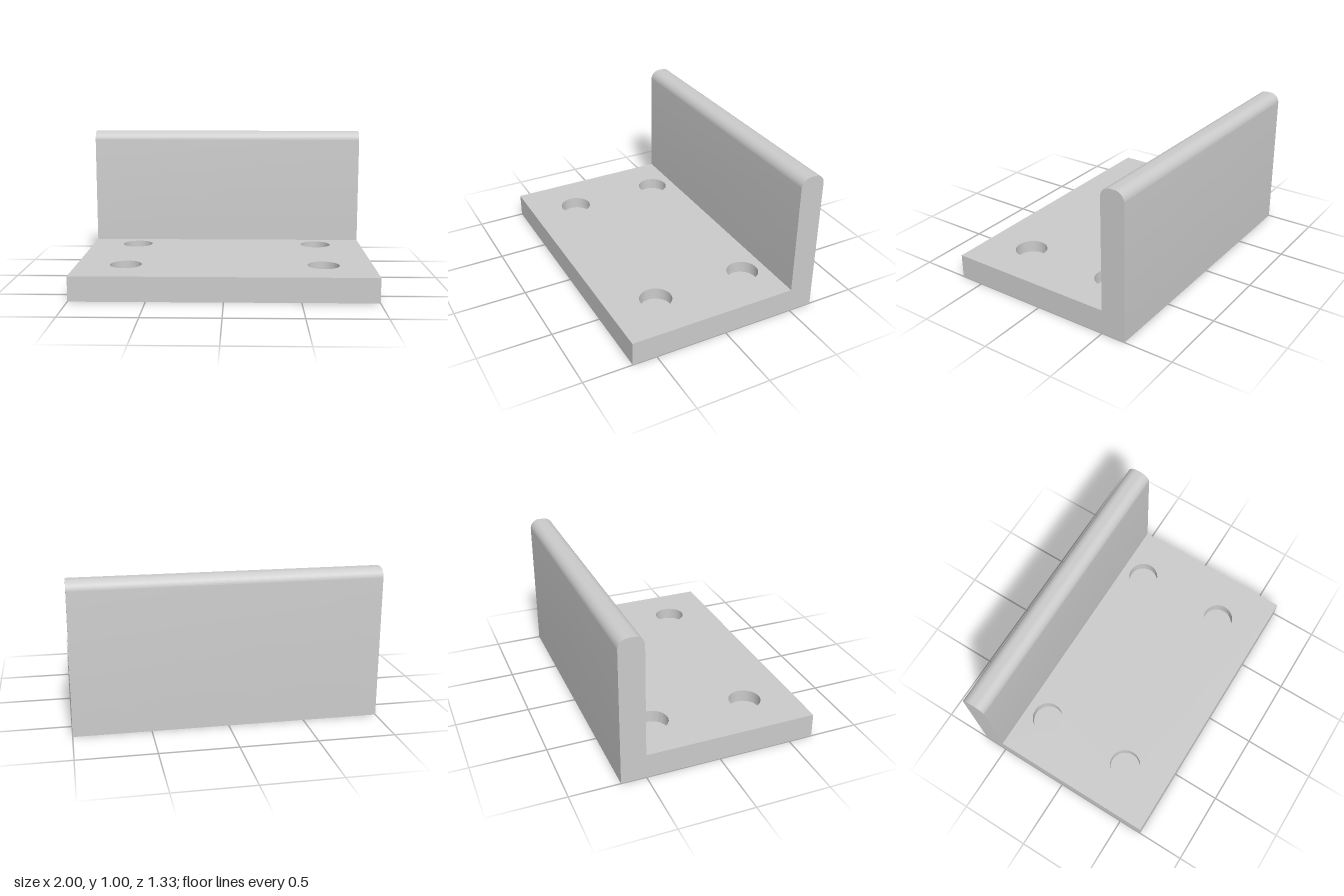
import * as THREE from 'three';
import { toCreasedNormals } from 'three/addons/utils/BufferGeometryUtils.js';

const W = 2, D = 4 / 3, T = 1 / 6, H = 1; // width, depth, plate thickness, height
const ROUND = 0.067, HOLE_R = 0.108, HOLE_DEPTH = T / 2;
const HOLES = [[-2 / 3, -1 / 3], [2 / 3, -1 / 3], [-2 / 3, 1 / 3], [2 / 3, 1 / 3]];

// L-shaped body, extruded along x, left open on top of the base plate
function bodyGeometry() {
  const back = D / 2, face = D / 2 - T;
  const s = new THREE.Shape();
  s.moveTo(-back, 0);
  s.lineTo(back, 0);
  s.lineTo(back, H - ROUND);
  s.absarc(back - ROUND, H - ROUND, ROUND, 0, Math.PI / 2, false);
  s.absarc(face + ROUND, H - ROUND, ROUND, Math.PI / 2, Math.PI, false);
  s.lineTo(face, T);
  s.lineTo(-back, T);
  s.closePath();
  const solid = new THREE.ExtrudeGeometry(s, { depth: W, bevelEnabled: false, curveSegments: 16 });
  solid.translate(0, 0, -W / 2).rotateY(Math.PI / 2);

  // drop the plate's top face, which is replaced by the drilled one
  const p = solid.toNonIndexed().attributes.position;
  const kept = [];
  for (let i = 0; i < p.count; i += 3) {
    if ([0, 1, 2].every((k) => Math.abs(p.getY(i + k) - T) < 1e-5)) continue;
    for (let k = 0; k < 3; k++) kept.push(p.getX(i + k), p.getY(i + k), p.getZ(i + k));
  }
  const g = new THREE.BufferGeometry();
  g.setAttribute('position', new THREE.Float32BufferAttribute(kept, 3));
  return toCreasedNormals(g, 0.5);
}

// Top face of the base plate with four round openings
function plateTopGeometry() {
  const front = -D / 2, wall = D / 2 - T; // shape y is -z
  const s = new THREE.Shape();
  s.moveTo(-W / 2, front);
  s.lineTo(W / 2, front);
  s.lineTo(W / 2, wall);
  s.lineTo(-W / 2, wall);
  s.closePath();
  for (const [x, z] of HOLES) {
    s.holes.push(new THREE.Path().absarc(x, -z, HOLE_R, 0, Math.PI * 2, true));
  }
  return new THREE.ShapeGeometry(s, 32).rotateX(-Math.PI / 2).translate(0, T, 0);
}

export function createModel() {
  const group = new THREE.Group();
  group.name = 'angleBracket';
  const material = new THREE.MeshStandardMaterial({ color: 0xcccccc });
  const add = (name, geometry) => {
    const mesh = new THREE.Mesh(geometry, material);
    mesh.name = name;
    group.add(mesh);
    return mesh;
  };

  add('bracketBody', bodyGeometry());
  add('basePlateTop', plateTopGeometry());

  // Blind holes: wall running down from the rim, then the floor
  const pocket = toCreasedNormals(new THREE.LatheGeometry([
    new THREE.Vector2(HOLE_R, T),
    new THREE.Vector2(HOLE_R, T - HOLE_DEPTH),
    new THREE.Vector2(0, T - HOLE_DEPTH),
  ], 64), 0.5);
  for (const [x, z] of HOLES) add('blindHole', pocket).position.set(x, 0, z);

  return group;
}
